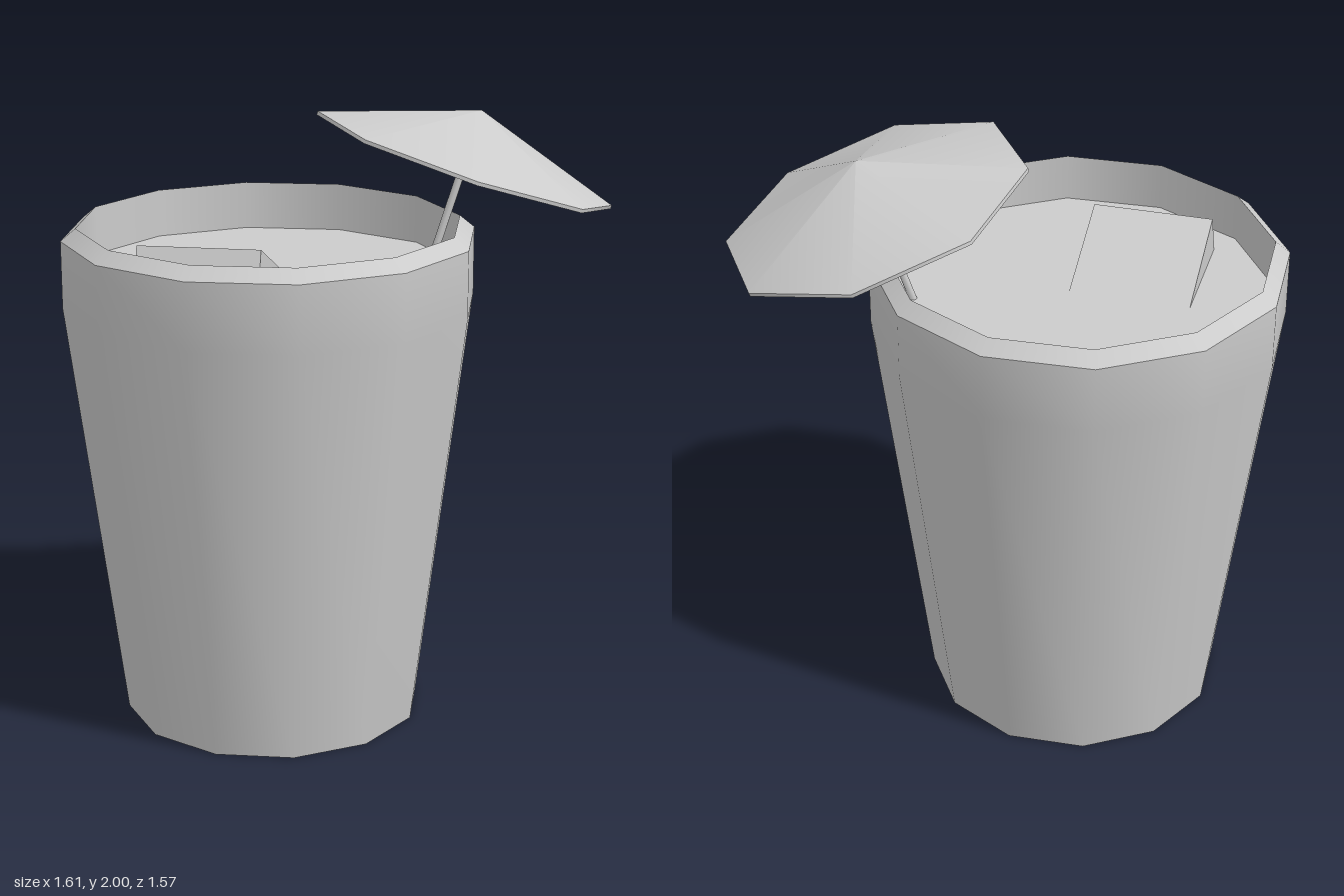
import * as THREE from 'three';

const material = new THREE.MeshStandardMaterial({ color: 0xcccccc, side: THREE.DoubleSide });
const SIDES = 12;
const APOTHEM = Math.cos(Math.PI / SIDES);

function addMesh(parent, name, geometry) {
  const mesh = new THREE.Mesh(geometry, material);
  mesh.name = name;
  parent.add(mesh);
  return mesh;
}

// Twelve-sided wall from [distance to flat side, height] pairs
function wall(profile) {
  const points = profile.map(([d, y]) => new THREE.Vector2(d / APOTHEM, y));
  return new THREE.LatheGeometry(points, SIDES, Math.PI / SIDES);
}

// Turn an object so its x and y axes follow the given directions
function orient(object, xAxis, yAxis) {
  const zAxis = new THREE.Vector3().crossVectors(xAxis, yAxis).normalize();
  const x = new THREE.Vector3().crossVectors(yAxis, zAxis).normalize();
  object.quaternion.setFromRotationMatrix(new THREE.Matrix4().makeBasis(x, yAxis, zAxis));
}

export function createModel() {
  const model = new THREE.Group();
  model.name = 'drink';

  // Tapered cup with an open base, bevelled rim and short inner wall
  const cup = new THREE.Group();
  cup.name = 'cup';
  cup.position.set(-0.16, 0, -0.14);
  model.add(cup);
  addMesh(cup, 'cupWall', wall([[0.477, 0], [0.65, 1.4], [0.65, 1.62]]));
  addMesh(cup, 'cupRim', wall([[0.65, 1.62], [0.603, 1.66]]));
  addMesh(cup, 'cupInnerWall', wall([[0.603, 1.66], [0.603, 1.5]]));

  // Drink surface
  const liquid = addMesh(cup, 'liquid',
    new THREE.CircleGeometry(0.603 / APOTHEM, SIDES, Math.PI / SIDES));
  liquid.rotation.x = -Math.PI / 2;
  liquid.position.y = 1.5;

  // Ice cube, tilted so one edge stands clear of the drink
  const size = 0.395;
  const tilt = 0.398;
  const across = new THREE.Vector3(0.889, 0, -0.457);
  const up = new THREE.Vector3(0, 1, 0);
  const top = across.clone().multiplyScalar(Math.cos(tilt)).addScaledVector(up, -Math.sin(tilt));
  const normal = across.clone().multiplyScalar(Math.sin(tilt)).addScaledVector(up, Math.cos(tilt));
  const ice = addMesh(model, 'iceCube', new THREE.BoxGeometry(size, size, size));
  orient(ice, top, normal.normalize());
  ice.position.set(-0.518, 1.643, -0.145)
    .addScaledVector(top, size / 2).addScaledVector(normal, -size / 2);

  // Leaning parasol: origin at the middle of the canopy's rim
  const parasol = new THREE.Group();
  parasol.name = 'parasol';
  parasol.position.set(0.32, 1.84, 0.295);
  orient(parasol, new THREE.Vector3(0.485, -0.13, 0.0575),
    new THREE.Vector3(0.2415, 1, 0.225).normalize());
  model.add(parasol);
  addMesh(parasol, 'canopy', new THREE.ConeGeometry(0.505, 0.165, 8, 1, true)).position.y = 0.0825;
  addMesh(parasol, 'canopyEdge', new THREE.CylinderGeometry(0.505, 0.505, 0.012, 8)).position.y = -0.006;
  addMesh(parasol, 'stick', new THREE.CylinderGeometry(0.013, 0.013, 0.4, 8)).position.y = -0.19;

  return model;
}
